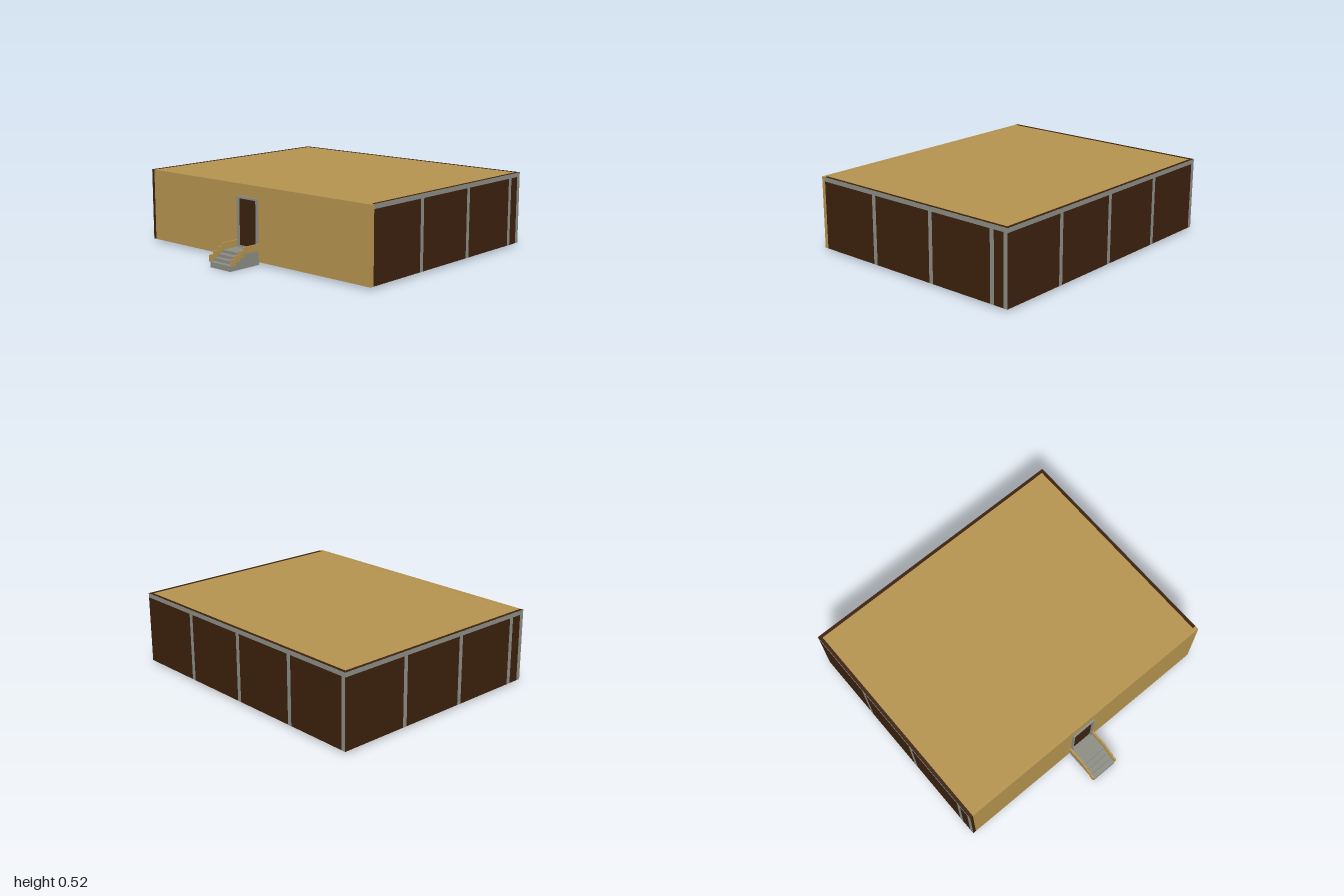
import * as THREE from 'three';

const mat = (name, color) => Object.assign(new THREE.MeshStandardMaterial({ color }), { name });

export function createModel() {
  const sand = mat('sand plaster', 0xb5934e);
  const brown = mat('dark brown panel', 0x3b210d);
  const grey = mat('grey trim', 0x8b8d84);
  const model = new THREE.Group();
  model.name = 'building';

  // Overall extents of the hollow shell, open underneath
  const X = 1, ZB = -0.937, ZF = 0.683, Y0 = 0.018, Y1 = 0.518, T = 0.023, STRIP = 0.03;

  const add = (name, geo, material, parent = model) => {
    const m = new THREE.Mesh(geo, material);
    m.name = name;
    parent.add(m);
    return m;
  };
  // Box from its min and max corners
  const box = (name, material, x0, x1, y0, y1, z0, z1, parent) => {
    const m = add(name, new THREE.BoxGeometry(x1 - x0, y1 - y0, z1 - z0), material, parent);
    m.position.set((x0 + x1) / 2, (y0 + y1) / 2, (z0 + z1) / 2);
    return m;
  };
  const polygon = (Type, pts) => new Type(pts.map(([x, y]) => new THREE.Vector2(x, y)));

  // Roof and brown walls
  box('roof', sand, -X + T, X - T, Y1 - 0.01, Y1 - 0.001, ZB + T, ZF);
  box('backWall', brown, -X, X, Y0, Y1, ZB, ZB + T);
  box('leftWall', brown, X - T, X, Y0, Y1, ZB + T, ZF - 0.028);
  box('rightWall', brown, -X, -X + T, Y0, Y1, ZB + T, ZF);

  // Front wall with a door opening
  const D = { x0: -0.114, x1: 0.048, y0: 0.1, y1: 0.422 };
  const rect = (x0, x1, y0, y1) => [[x0, y0], [x1, y0], [x1, y1], [x0, y1]];
  const front = polygon(THREE.Shape, rect(-X + T, X, Y0, Y1));
  front.holes.push(polygon(THREE.Path, rect(D.x0, D.x1, D.y0, D.y1)));
  add('frontWall', new THREE.ExtrudeGeometry(front, { depth: 0.028, bevelEnabled: false }), sand)
    .position.z = ZF - 0.028;

  // Flush grey trim: top rail and a post every half unit
  const E = 0.001;
  const trim = new THREE.Group();
  trim.name = 'wallTrim';
  model.add(trim);
  const sideStrip = (s, z0, z1, y0, y1) =>
    box('sideTrim', grey, s * X - E, s * X + E, y0, y1, z0, z1, trim);
  const backStrip = (x0, x1, y0, y1) =>
    box('backTrim', grey, x0, x1, y0, y1, ZB - E, ZB + E, trim);
  const yRail = Y1 - STRIP, h = STRIP / 2;
  sideStrip(1, ZB, ZF - 0.028, yRail, Y1);
  sideStrip(-1, ZB, ZF, yRail, Y1);
  backStrip(-X, X, yRail, Y1);
  for (let i = 1; i <= 3; i++) {
    sideStrip(1, ZF - i / 2 - h, ZF - i / 2 + h, Y0, yRail);
    sideStrip(-1, ZB + i / 2 - h, ZB + i / 2 + h, Y0, yRail);
    backStrip(X - i / 2 - h, X - i / 2 + h, Y0, yRail);
  }
  sideStrip(1, ZB, ZB + STRIP, Y0, yRail);
  sideStrip(-1, ZF - STRIP, ZF, Y0, yRail);
  backStrip(-X, -X + STRIP, Y0, yRail);

  // Door with six raised panels
  const door = new THREE.Group();
  door.name = 'door';
  model.add(door);
  box('doorLeaf', brown, D.x0, D.x1, D.y0, D.y1, ZF - 0.027, ZF, door);
  for (let r = 0; r < 3; r++) for (let c = 0; c < 2; c++) {
    const x = D.x0 + 0.018 + c * 0.068, y = D.y0 + 0.025 + r * 0.097;
    box('doorPanel', brown, x, x + 0.058, y, y + 0.08, ZF, ZF + 0.004, door);
  }
  // Door frame
  const F0 = -0.126, F1 = 0.06, FT = 0.435, FZ = ZF + 0.014;
  box('frameSide', grey, F0, D.x0, 0.095, FT, ZF, FZ, door);
  box('frameSide', grey, D.x1, F1, 0.095, FT, ZF, FZ, door);
  box('frameTop', grey, D.x0, D.x1, D.y1, FT, ZF, FZ, door);
  box('threshold', grey, D.x0, D.x1, 0.095, 0.106, ZF, FZ, door);

  // Stepped outlines as [z, y], climbing from the front to the wall
  const edges = [0.936, 0.9, 0.863, 0.825, ZF];
  const climb = (y) => edges.slice(0, 4).flatMap((z, i) =>
    [[z, y + i * 0.0203], [edges[i + 1], y + i * 0.0203]]);
  const extrudeX = (name, pts, x0, x1, material, parent) => {
    const geo = new THREE.ExtrudeGeometry(polygon(THREE.Shape, pts), { depth: x1 - x0, bevelEnabled: false });
    geo.rotateY(-Math.PI / 2); // outline x becomes z, depth becomes -x
    add(name, geo, material, parent).position.x = x1;
  };

  // Entrance steps with sand coloured side boards
  const stairs = new THREE.Group();
  stairs.name = 'entranceSteps';
  model.add(stairs);
  extrudeX('steps', [[ZF, 0], [edges[0], 0], ...climb(0.036)], F0, F1, grey, stairs);
  const board = [...climb(0.036).reverse(), ...climb(0.081)];
  extrudeX('sideBoard', board, F0 - 0.013, F0, sand, stairs);
  extrudeX('sideBoard', board, F1, F1 + 0.013, sand, stairs);

  return model;
}
